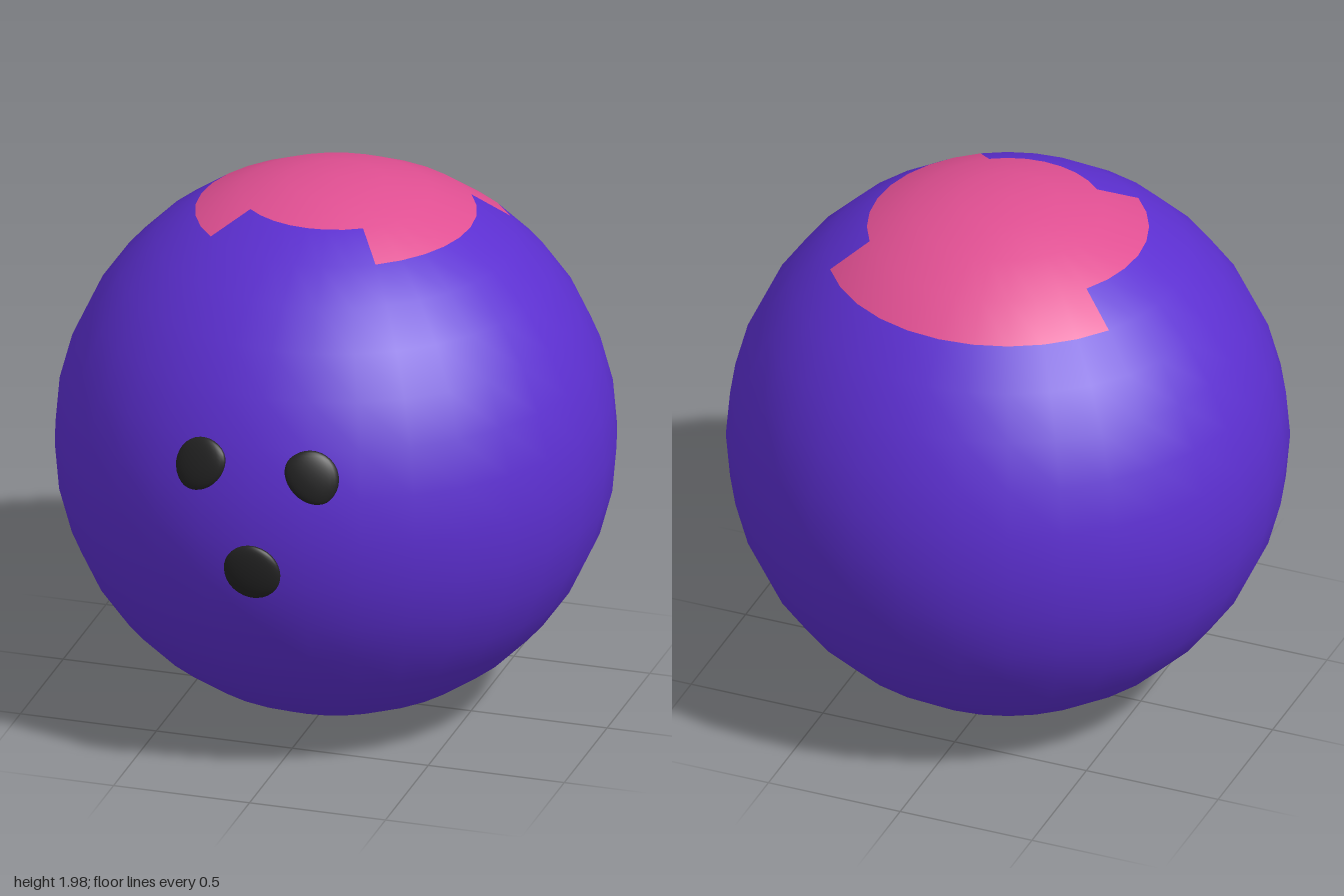
import * as THREE from 'three';
import { mergeGeometries } from 'three/addons/utils/BufferGeometryUtils.js';

const R = 0.99;
const CENTRE = new THREE.Vector3(0, R, -0.01);
const STEP = Math.PI / 16; // 32 meridians
const RING = Math.PI / 18; // 18 rings

// Sectors [from, to, rings]: meridians counted from +z towards +x, rings of cap colour
const SECTORS = [[-4, 3, 2], [3, 11, 3], [11, 21, 4], [21, 28, 3]];

function spherePatch(from, to, ringA, ringB) {
  return new THREE.SphereGeometry(R, to - from, ringB - ringA,
    (from + 8) * STEP, (to - from) * STEP, ringA * RING, (ringB - ringA) * RING);
}

// Flattened button lying on the ball at (x, y); flatten squeezes its inner lower half
function button(name, material, x, y, radius, flatten) {
  const geometry = new THREE.SphereGeometry(1, 24, 16);
  const pos = geometry.attributes.position;
  const dir = new THREE.Vector2(-Math.sign(x), -1).normalize();
  for (let i = 0; i < pos.count; i++) {
    const d = pos.getX(i) * dir.x + pos.getY(i) * dir.y;
    const cut = d > 0 ? d * (1 - flatten) : 0;
    pos.setXY(i, pos.getX(i) - cut * dir.x, pos.getY(i) - cut * dir.y);
  }
  geometry.scale(radius, radius, 0.03);
  geometry.computeVertexNormals();
  const mesh = new THREE.Mesh(geometry, material);
  mesh.name = name;
  const dy = y - CENTRE.y;
  const normal = new THREE.Vector3(x, dy, Math.sqrt(R * R - x * x - dy * dy)).normalize();
  mesh.position.copy(CENTRE).addScaledVector(normal, R - 0.003);
  mesh.lookAt(mesh.position.clone().add(normal));
  return mesh;
}

export function createModel() {
  const purple = new THREE.MeshStandardMaterial({ color: 0x5c2fd0 });
  const pink = new THREE.MeshStandardMaterial({ color: 0xe04f92 });
  const black = new THREE.MeshStandardMaterial({ color: 0x222222 });
  purple.name = 'purple';
  pink.name = 'pink';
  black.name = 'black';

  const model = new THREE.Group();
  model.name = 'ball';

  // Ball shell and the stepped cap share the same sphere grid
  const cap = new THREE.Mesh(
    mergeGeometries(SECTORS.map(([a, b, n]) => spherePatch(a, b, 0, n))), pink);
  cap.name = 'topPatch';
  const body = new THREE.Mesh(
    mergeGeometries(SECTORS.map(([a, b, n]) => spherePatch(a, b, n, 18))), purple);
  body.name = 'ballBody';
  cap.position.copy(CENTRE);
  body.position.copy(CENTRE);
  model.add(body, cap);

  // Three dark finger spots
  model.add(
    button('leftSpot', black, 0.2, 1.235, 0.102, 0.76),
    button('rightSpot', black, -0.2, 1.235, 0.102, 0.76),
    button('lowerSpot', black, 0, 0.872, 0.104, 1),
  );
  return model;
}
